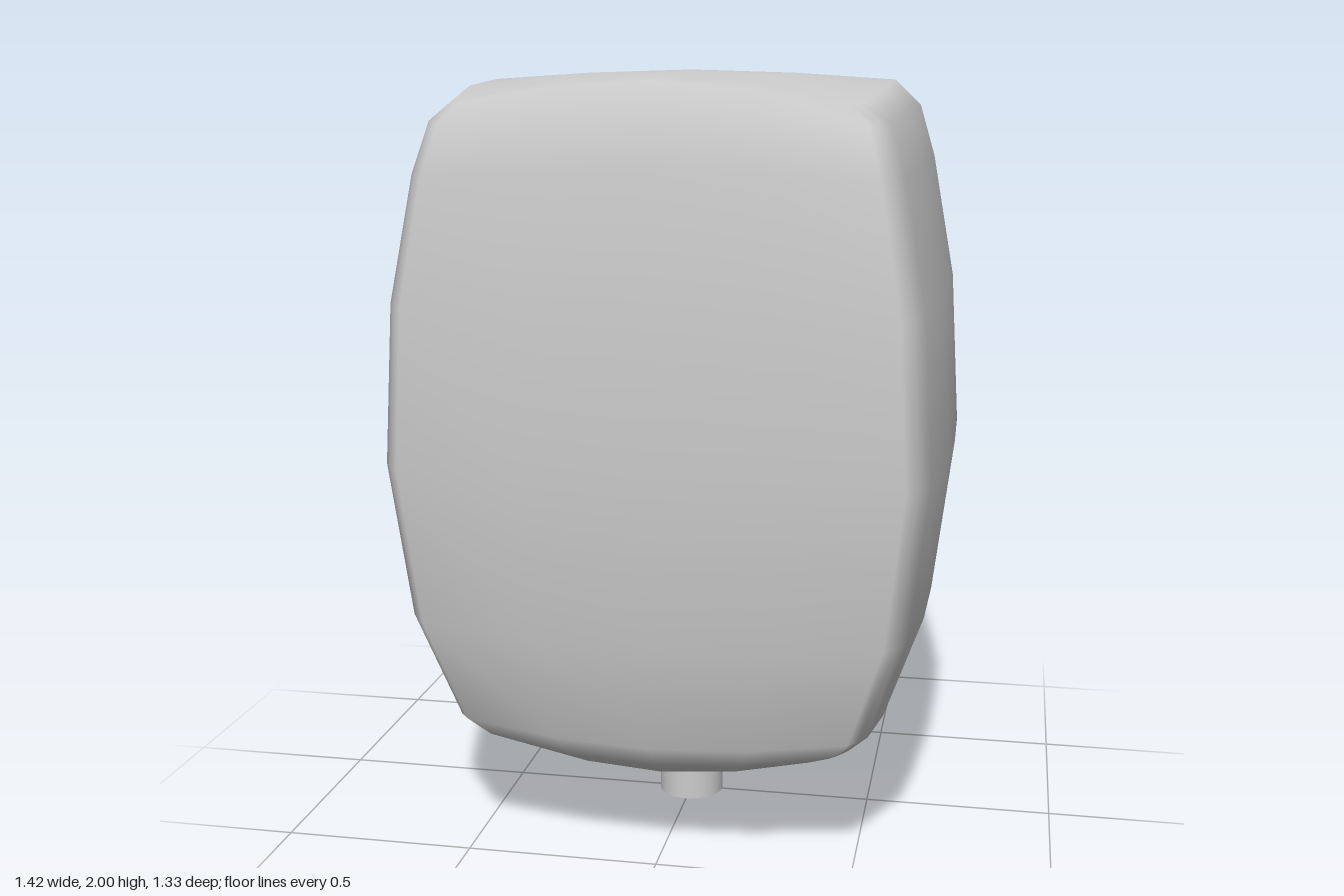
import * as THREE from 'three';
import { mergeVertices } from 'three/addons/utils/BufferGeometryUtils.js';

// One quarter of the rounded-square section, from +x round to +z (unit size)
const QUARTER = [[1, 0], [0.993, 0.436], [0.951, 0.797], [0.915, 0.87], [0.873, 0.925], [0.437, 0.985]];

// Levels from bottom to top: height, half width, half depth, corner shift in y
const LEVELS = [
  [0.225, 0, 0, 0], [0.228, 0.22, 0.225, 0.005], [0.235, 0.44, 0.45, 0.04], [0.28, 0.505, 0.515, 0.035],
  [0.34, 0.56, 0.56, 0.03], [0.63, 0.66, 0.63, 0.01], [1.04, 0.71, 0.665, 0], [1.45, 0.685, 0.66, -0.01],
  [1.78, 0.625, 0.63, -0.03], [1.92, 0.585, 0.595, -0.045], [1.975, 0.53, 0.55, -0.05],
  [1.992, 0.27, 0.28, -0.006], [2, 0, 0, 0],
];

// Full section: the other quarters are mirrored, keeping the order round
function makeSection() {
  const half = [...QUARTER, [0, 1], ...QUARTER.slice(1).reverse().map(([x, z]) => [-x, z])];
  return [...half, ...half.map(([x, z]) => [-x, -z])];
}

// Loft the pillow-like body through all the levels
function makeBody() {
  const section = makeSection();
  const n = section.length;
  const positions = [];
  const index = [];
  LEVELS.forEach(([y, hx, hz, shift], i) => {
    section.forEach(([x, z], j) => {
      const corner = (x * z / 0.8) ** 2;
      positions.push(x * hx, y + shift * corner, z * hz);
      if (i === LEVELS.length - 1) return;
      const a = i * n + j;
      const b = i * n + (j + 1) % n;
      if (i < LEVELS.length - 2) index.push(a, a + n, b + n);
      if (i > 0) index.push(a, b + n, b);
    });
  });
  const geometry = new THREE.BufferGeometry();
  geometry.setAttribute('position', new THREE.Float32BufferAttribute(positions, 3));
  geometry.setIndex(index);
  const merged = mergeVertices(geometry);
  merged.computeVertexNormals();
  return merged;
}

export function createModel() {
  const group = new THREE.Group();

  const body = new THREE.Mesh(makeBody(), new THREE.MeshStandardMaterial({ color: 0xcccccc }));
  body.name = 'body';

  // Short open tube under the body
  const stem = new THREE.Mesh(
    new THREE.CylinderGeometry(0.088, 0.088, 0.3, 32, 1, true),
    new THREE.MeshStandardMaterial({ color: 0xcccccc, side: THREE.DoubleSide }),
  );
  stem.name = 'stem';
  stem.position.y = 0.15;

  group.add(body, stem);
  return group;
}
